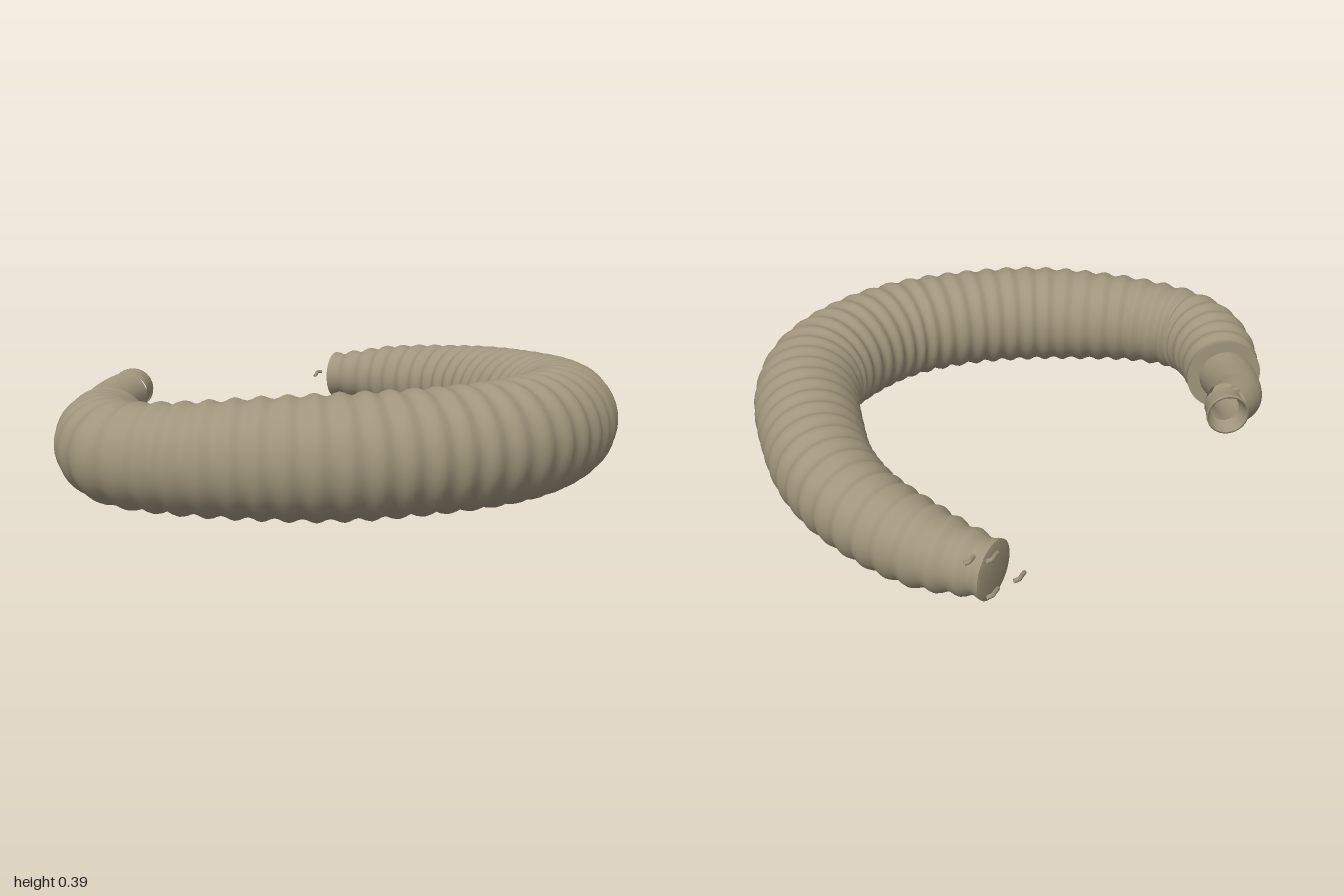
import * as THREE from 'three';

const SIDES = 40;
const UP = new THREE.Vector3(0, 1, 0);
const material = new THREE.MeshStandardMaterial({ color: 0xa0957c, side: THREE.DoubleSide });

// Skin a list of rings {centre, dir, r} with a smooth tube.
function loft(name, rings) {
  const pos = [], index = [];
  rings.forEach(({ centre, dir, r }, i) => {
    const side = new THREE.Vector3().crossVectors(dir, UP).normalize();
    const up = new THREE.Vector3().crossVectors(side, dir).normalize();
    for (let j = 0; j < SIDES; j++) {
      const a = (j / SIDES) * Math.PI * 2;
      const p = centre.clone().addScaledVector(side, r * Math.cos(a)).addScaledVector(up, r * Math.sin(a));
      pos.push(p.x, p.y, p.z);
      if (i === 0) continue;
      const k = (j + 1) % SIDES, a0 = (i - 1) * SIDES, b0 = i * SIDES;
      index.push(a0 + j, b0 + j, a0 + k, b0 + j, b0 + k, a0 + k);
    }
  });
  const geo = new THREE.BufferGeometry();
  geo.setAttribute('position', new THREE.Float32BufferAttribute(pos, 3));
  geo.setIndex(index);
  geo.computeVertexNormals();
  const mesh = new THREE.Mesh(geo, material);
  mesh.name = name;
  return mesh;
}

// Rings along a path of [x, y, z, radius] stations; offset(u) adds ribs.
function sweepRings(stations, steps, offset = () => 0) {
  const path = new THREE.CatmullRomCurve3(stations.map(([x, y, z]) => new THREE.Vector3(x, y, z)));
  path.arcLengthDivisions = 1000;
  const radius = new THREE.SplineCurve(stations.map((s, i) => new THREE.Vector2(i, s[3])));
  return Array.from({ length: steps + 1 }, (_, i) => {
    const u = i / steps;
    return {
      centre: path.getPointAt(u),
      dir: path.getTangentAt(u),
      r: radius.getPoint(path.getUtoTmapping(u)).y + offset(u),
    };
  });
}

export function createModel() {
  const group = new THREE.Group();
  group.name = 'ringedWorm';

  // Ribbed body, from the tail round to the collar
  const body = [
    [0.13, 0.155, -0.925, 0.09], [0.34, 0.16, -0.79, 0.128], [0.535, 0.17, -0.59, 0.145],
    [0.655, 0.175, -0.37, 0.162], [0.72, 0.18, -0.12, 0.175], [0.753, 0.185, 0.1, 0.183],
    [0.73, 0.19, 0.3, 0.187], [0.61, 0.193, 0.5, 0.19], [0.43, 0.195, 0.66, 0.188],
    [0.16, 0.195, 0.76, 0.186], [-0.1, 0.193, 0.79, 0.186], [-0.33, 0.19, 0.765, 0.178],
    [-0.55, 0.185, 0.71, 0.165], [-0.73, 0.18, 0.6, 0.155], [-0.79, 0.18, 0.43, 0.148],
    [-0.79, 0.18, 0.21, 0.132],
  ];
  const ribs = 46;
  const rings = sweepRings(body, ribs * 6, (u) => 0.006 * Math.cos(u * ribs * Math.PI * 2));
  group.add(loft('ribbedBody', rings));

  // Closed tail tip and the collar face round the neck
  const tail = rings[0], collar = rings[rings.length - 1];
  const tip = tail.centre.clone().addScaledVector(tail.dir, -0.008);
  group.add(loft('tailTip', [{ ...tail, centre: tip, r: 0.0001 }, { ...tail, centre: tip, r: 0.07 }, tail]));
  group.add(loft('collar', [collar, { ...collar, r: 0.085 }]));

  // Smooth neck curving inwards and up
  group.add(loft('neck', sweepRings([
    [-0.79, 0.18, 0.25, 0.096], [-0.803, 0.185, 0.13, 0.096], [-0.79, 0.205, 0.0, 0.09],
    [-0.76, 0.225, -0.07, 0.082], [-0.722, 0.24, -0.125, 0.076],
  ], 24)));

  // Open cup-shaped mouth
  const profile = [[0.066, 0], [0.066, 0.02], [0.069, 0.045], [0.073, 0.07], [0.073, 0.08],
    [0.066, 0.08], [0.061, 0.05], [0.05, 0.025]].map(([r, h]) => new THREE.Vector2(r, h));
  const mouth = new THREE.Mesh(new THREE.LatheGeometry(profile, SIDES), material);
  mouth.name = 'mouth';
  mouth.rotation.x = -Math.PI / 2;
  mouth.position.set(-0.713, 0.24, -0.12);
  group.add(mouth);

  // Small hooked bristles behind the tail
  const hook = new THREE.CatmullRomCurve3([
    [-0.017, -0.006, 0.028], [-0.008, 0, 0.005], [0.002, 0.004, -0.018], [0.017, 0.003, -0.025],
  ].map((p) => new THREE.Vector3(...p)));
  const hookGeo = new THREE.TubeGeometry(hook, 12, 0.007, 8);
  [[0.057, 0.155, -0.962], [0.135, 0.228, -0.962], [0.135, 0.1, -0.962], [0.2, 0.226, -0.966]].forEach((p) => {
    const bristle = new THREE.Mesh(hookGeo, material);
    bristle.name = 'tailBristle';
    bristle.position.set(...p);
    group.add(bristle);
  });

  return group;
}
